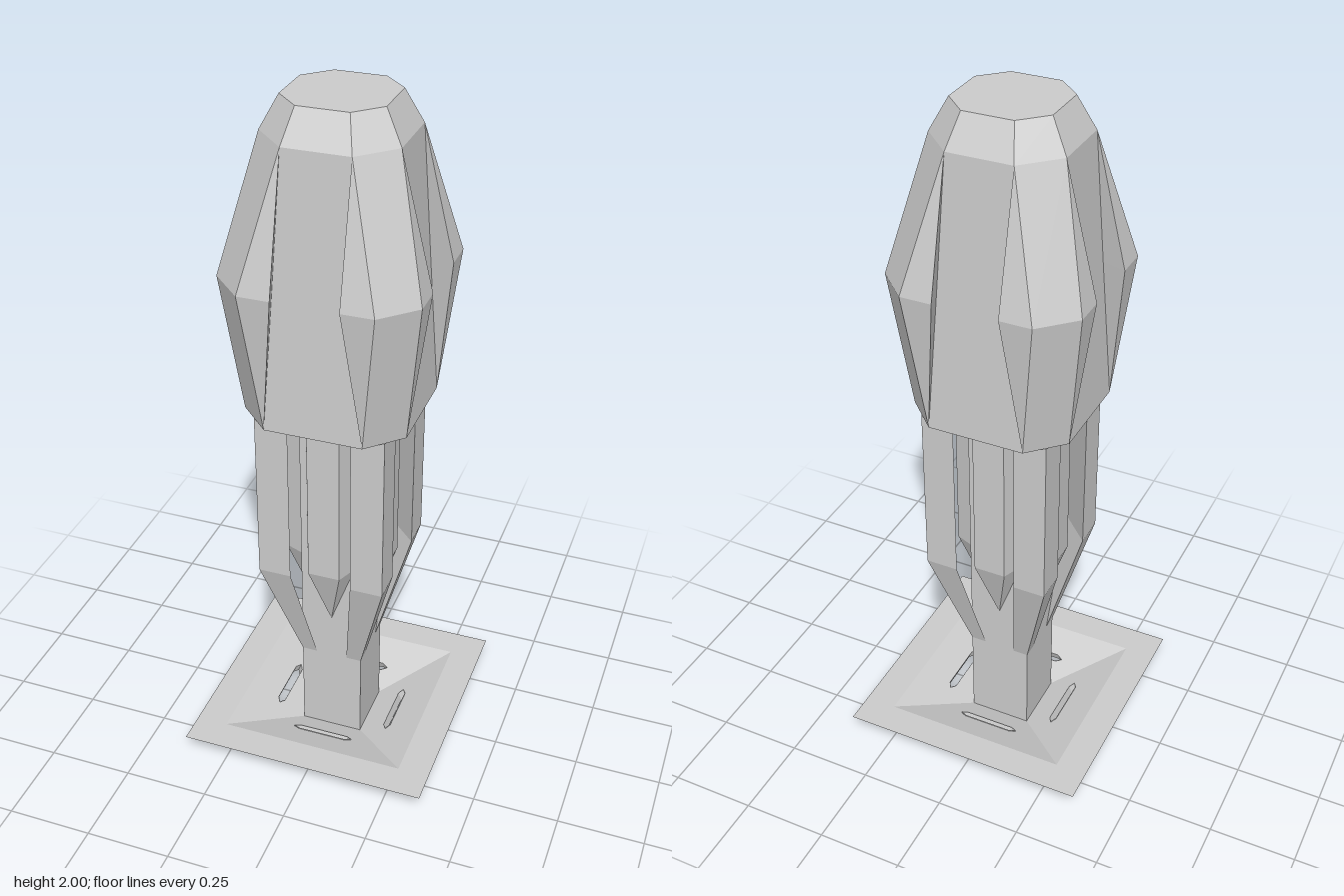
import * as THREE from 'three';

const grey = new THREE.MeshStandardMaterial({ color: 0xcccccc, flatShading: true });
const greyThin = new THREE.MeshStandardMaterial({ color: 0xcccccc, flatShading: true, side: THREE.DoubleSide });

// Joins rings of [x, y, z] points (ordered from +z towards +x), with optional flat ends.
function loft(rings, capStart = false, capEnd = false) {
  const pos = [];
  const tri = (...pts) => {
    const [a, b, c] = pts.map((p) => new THREE.Vector3(...p));
    if (b.sub(a).cross(c.sub(a)).length() > 1e-7) pos.push(...pts.flat());
  };
  const cap = (ring, flip) => {
    const mid = [0, 1, 2].map((k) => ring.reduce((s, p) => s + p[k], 0) / ring.length);
    ring.forEach((p, j) => {
      const q = ring[(j + 1) % ring.length];
      if (flip) tri(mid, q, p); else tri(mid, p, q);
    });
  };
  for (let i = 0; i + 1 < rings.length; i++) {
    const lo = rings[i], hi = rings[i + 1];
    lo.forEach((a, j) => {
      const k = (j + 1) % lo.length;
      tri(a, lo[k], hi[k]);
      tri(a, hi[k], hi[j]);
    });
  }
  if (capStart) cap(rings[0], true);
  if (capEnd) cap(rings.at(-1), false);
  const geo = new THREE.BufferGeometry();
  geo.setAttribute('position', new THREE.Float32BufferAttribute(pos, 3));
  geo.computeVertexNormals();
  return geo;
}

// Ring at height y from [x, z] pairs.
const ringAt = (y, pts) => pts.map(([x, z]) => [x, y, z]);

// Mirrors the points of one half corner, then repeats the corner on all four sides.
function fourCorners(half) {
  let corner = [...half, ...half.map(([x, z]) => [z, x]).reverse()];
  const out = [];
  for (let i = 0; i < 4; i++) {
    out.push(...corner);
    corner = corner.map(([x, z]) => [z, -x]);
  }
  return out;
}

const squareShape = (r) => [[-r, -r], [r, -r], [r, r], [-r, r]].map(([x, y]) => new THREE.Vector2(x, y));

export function createModel() {
  const model = new THREE.Group();
  const add = (name, geo, mat = grey, parent = model) => {
    const mesh = new THREE.Mesh(geo, mat);
    mesh.name = name;
    parent.add(mesh);
    return mesh;
  };
  const T = 0.092; // half width of the trunk

  // Faceted head: a tapering octagon with a bulging lobe on each corner
  const same = (x, z) => fourCorners([[x, z], [x, z], [x, z]]);
  add('head', loft([
    ringAt(1.13, same(0.138, 0.23)),
    ringAt(1.54, fourCorners([[0.113, 0.206], [0.092, 0.275], [0.183, 0.275]])),
    ringAt(1.91, same(0.092, 0.185)),
    ringAt(2, same(0.07, 0.138)),
  ], true, true));

  // Hollow square trunk running up into the head
  const trunk = [[-T, T], [T, T], [T, -T], [-T, -T]];
  add('trunk', loft([ringAt(0, trunk), ringAt(1.13, trunk)]), greyThin);

  // Triangular corner posts, and pointed ribs on the trunk faces
  const post = (r, inner) => [[inner, r], [r, r], [r, inner]];
  const postGeo = loft([
    ringAt(0.28, post(T, 0.047)),
    ringAt(0.62, post(0.185, 0.09)),
    ringAt(1.13, post(0.185, 0.09)),
  ], true);
  const rib = [[-0.047, 0.155], [0.047, 0.155], [0.072, T], [-0.072, T]];
  const ribGeo = loft([
    ringAt(0.42, rib.map(() => [0, T])),
    ringAt(0.62, rib),
    ringAt(1.13, rib),
  ]);

  // Sloping dish side with a slot, drawn flat and tilted into place
  const rise = 0.07, outer = 0.275, run = outer - T;
  const slope = Math.hypot(rise, run), tilt = Math.atan2(run, rise);
  const slotMid = 0.088;
  const slot = [[-0.092, 0], [-0.075, -0.011], [0.075, -0.011], [0.092, 0], [0.075, 0.011], [-0.075, 0.011]]
    .map(([x, t]) => [x, t + slotMid]);
  const side = new THREE.Shape([[-T, 0], [T, 0], [outer, slope], [-outer, slope]]
    .map(([x, t]) => new THREE.Vector2(x, t)));
  side.holes.push(new THREE.Path(slot.map(([x, t]) => new THREE.Vector2(x, t))));
  const dishGeo = new THREE.ShapeGeometry(side).rotateX(tilt).translate(0, 0, T);
  const slotGeo = loft([0.024, -0.003].map((d) => slot.map(([x, t]) => [x, t, d])))
    .rotateX(tilt).translate(0, 0, T);

  for (let i = 0; i < 4; i++) {
    const quarter = new THREE.Group();
    quarter.name = 'quarter';
    quarter.rotation.y = i * Math.PI / 2;
    model.add(quarter);
    add('cornerPost', postGeo, grey, quarter);
    add('rib', ribGeo, grey, quarter);
    add('dishSide', dishGeo, greyThin, quarter);
    add('slotWall', slotGeo, greyThin, quarter);
  }

  // Flat square rim around the dish
  const rim = new THREE.Shape(squareShape(0.367));
  rim.holes.push(new THREE.Path(squareShape(outer)));
  add('rim', new THREE.ShapeGeometry(rim).rotateX(-Math.PI / 2).translate(0, rise, 0), greyThin);

  return model;
}
